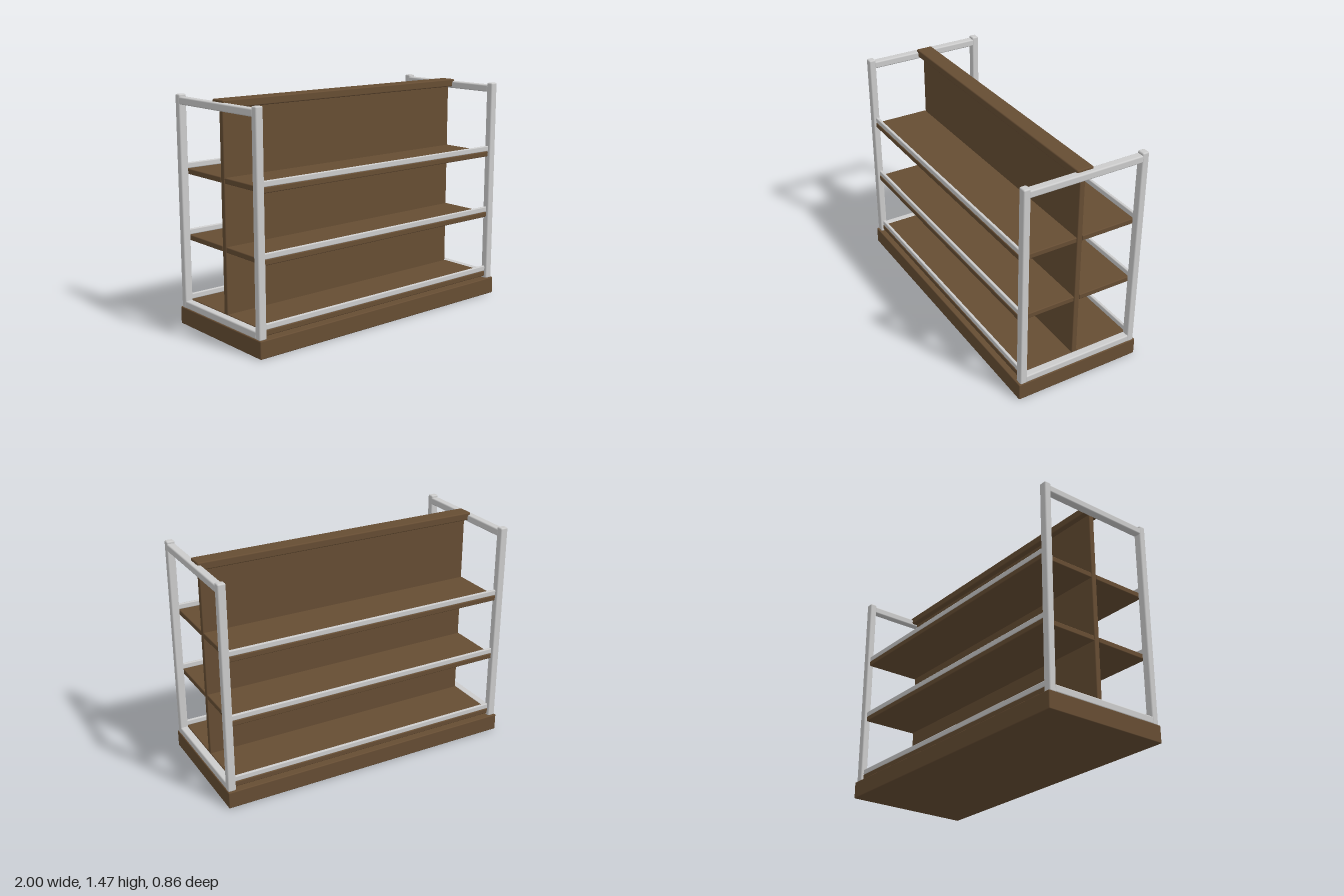
import * as THREE from 'three';
import { RoundedBoxGeometry } from 'three/addons/geometries/RoundedBoxGeometry.js';

export function createModel() {
  const model = new THREE.Group();
  model.name = 'shelvingUnit';

  const wood = new THREE.MeshStandardMaterial({ color: 0x664d33 });
  wood.name = 'brown wood';
  const metal = new THREE.MeshStandardMaterial({ color: 0xcccccc });
  metal.name = 'light grey metal';

  // Box with softened edges, given by its lower and upper corners
  function bar(name, material, [x0, y0, z0], [x1, y1, z1], radius = 0.006) {
    const geometry = new RoundedBoxGeometry(x1 - x0, y1 - y0, z1 - z0, 2, radius);
    const mesh = new THREE.Mesh(geometry, material);
    mesh.name = name;
    mesh.position.set((x0 + x1) / 2, (y0 + y1) / 2, (z0 + z1) / 2);
    model.add(mesh);
  }

  // The same bar at z0..z1 in front and mirrored to the back
  function frontAndBack(name, material, [x0, y0, z0], [x1, y1, z1], radius) {
    bar(name + 'Front', material, [x0, y0, z0], [x1, y1, z1], radius);
    bar(name + 'Back', material, [x0, y0, -z1], [x1, y1, -z0], radius);
  }

  // Plinth, central divider and its cap
  bar('base', wood, [-1, 0, -0.43], [1, 0.112, 0.43]);
  bar('divider', wood, [-0.945, 0.105, -0.018], [0.945, 1.43, 0.018]);
  bar('dividerCap', wood, [-0.967, 1.417, -0.055], [0.967, 1.467, 0.055], 0.008);

  // Shelves on both sides, each with a metal guard rail at its edge
  [0.16, 0.582, 1.004].forEach((top, i) => {
    frontAndBack('shelf' + i, wood, [-0.945, top - 0.035, 0.019], [0.945, top, 0.402]);
    frontAndBack('guardRail' + i, metal, [-0.95, top, 0.38], [0.95, top + 0.036, 0.4]);
  });

  // End frames: corner posts joined by a bottom and a top rail
  [['Left', 0.944, 0.996], ['Right', -0.996, -0.944]].forEach(([side, x0, x1]) => {
    frontAndBack('post' + side, metal, [x0, 0.108, 0.372], [x1, 1.467, 0.418], 0.009);
    bar('bottomRail' + side, metal, [x0, 0.11, -0.38], [x1, 0.158, 0.38], 0.009);
    bar('topRail' + side, metal, [x0, 1.405, -0.38], [x1, 1.452, 0.38], 0.009);
  });

  return model;
}
